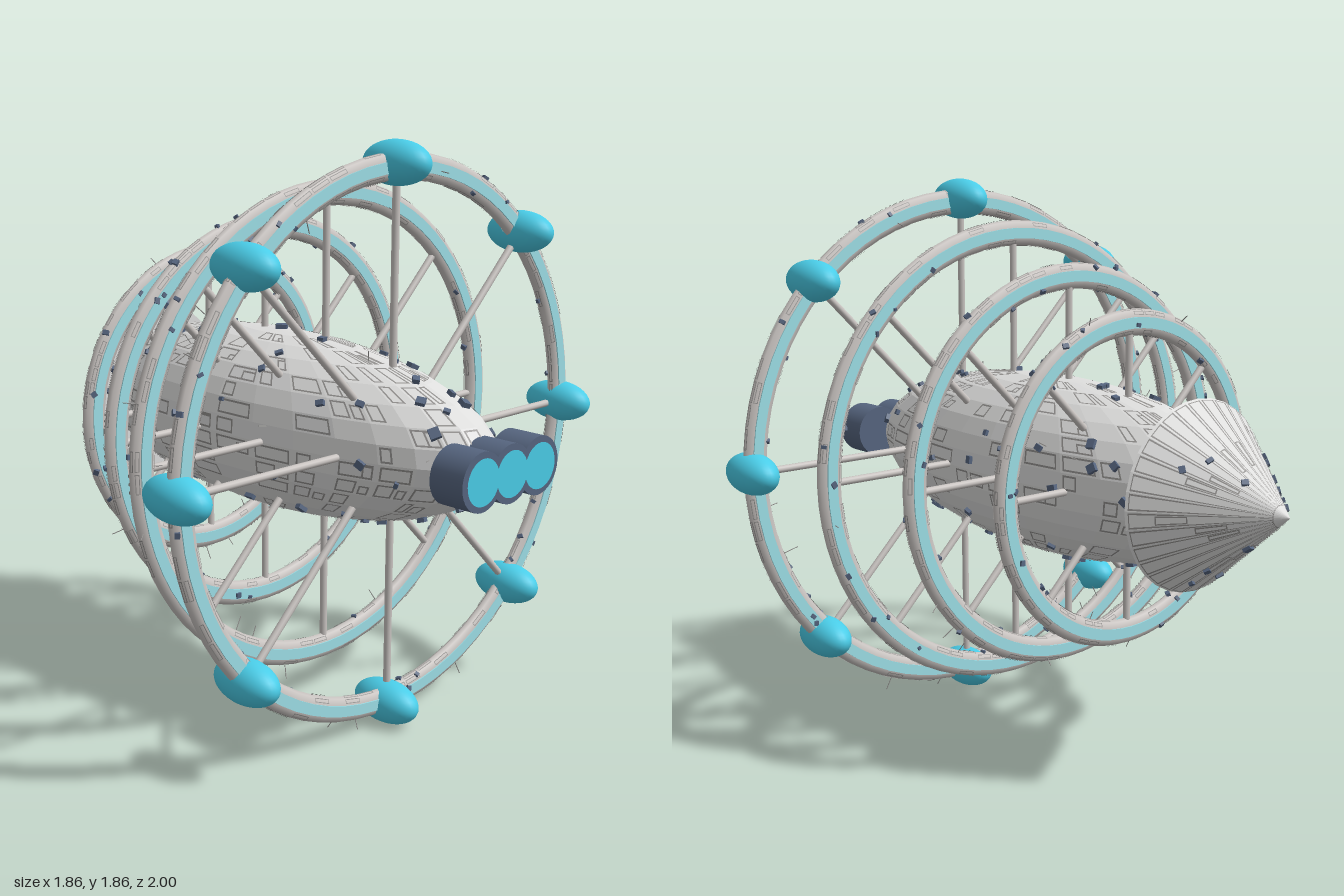
import * as THREE from 'three';
import { mergeGeometries } from 'three/addons/utils/BufferGeometryUtils.js';

const V = (x, y, z) => new THREE.Vector3(x, y, z);
const mat = (name, color) => Object.assign(new THREE.MeshStandardMaterial({ color }), { name });

// Small seeded random generator
let seed = 7;
const rnd = (a = 0, b = 1) => {
  seed = (seed * 16807) % 2147483647;
  return a + (b - a) * (seed / 2147483647);
};

// Faceted copy of a geometry, ready for merging
function flat(g) {
  const f = g.index ? g.toNonIndexed() : g;
  f.deleteAttribute('uv');
  f.computeVertexNormals();
  return f;
}

// Turns a geometry's +z towards a normal and moves it to a point
function place(g, pos, normal) {
  const q = new THREE.Quaternion().setFromUnitVectors(V(0, 0, 1), normal);
  return flat(g.applyQuaternion(q).translate(pos.x, pos.y, pos.z));
}

// Rectangular panel outline on a four-cornered patch (counter-clockwise from outside)
function frame(A, B, C, D, u0, u1, v0, v1, w, out) {
  const n = V(0, 0, 0).crossVectors(C.clone().sub(A), D.clone().sub(B)).normalize().multiplyScalar(0.003);
  const at = (u, v) => A.clone().lerp(B, u).lerp(D.clone().lerp(C, u), v).add(n);
  const du = w / Math.max(0.012, (A.distanceTo(B) + D.distanceTo(C)) / 2);
  const dv = w / Math.max(0.012, A.distanceTo(D));
  const strip = (a, b, c, d) => {
    const p = [at(a, c), at(b, c), at(b, d), at(a, d)];
    for (const i of [0, 1, 2, 0, 2, 3]) out.push(p[i].x, p[i].y, p[i].z);
  };
  strip(u0, u1, v0, v0 + dv);
  strip(u0, u1, v1 - dv, v1);
  strip(u0, u0 + du, v0, v1);
  strip(u1 - du, u1, v0, v1);
}

export function createModel() {
  seed = 7;
  const model = new THREE.Group();
  model.name = 'ringShip';
  const body = new THREE.Group();
  body.name = 'ship';
  body.position.y = 0.93;
  model.add(body);

  const hullGrey = mat('hullGrey', 0xdededd);
  const strutGrey = mat('strutGrey', 0xc9c4c1);
  const seamGrey = mat('seamGrey', 0x93918f);
  const slate = mat('slate', 0x56657f);
  const teal = mat('teal', 0x4acde8);
  const paleTeal = mat('paleTeal', 0x9fe2ea);
  seamGrey.side = THREE.DoubleSide;

  const add = (name, geo, material, parent = body) => {
    const m = new THREE.Mesh(geo, material);
    m.name = name;
    parent.add(m);
  };

  // Hull: long ellipsoid with its poles at top and bottom
  const RX = 0.295, RZ = 0.9, ZC = 0.03;
  const onHull = (lon, lat) => V(RX * Math.cos(lat) * Math.sin(lon), RX * Math.sin(lat), ZC + RZ * Math.cos(lat) * Math.cos(lon));
  const hullNormal = p => V(p.x / RX ** 2, p.y / RX ** 2, (p.z - ZC) / RZ ** 2).normalize();
  add('hull', flat(new THREE.SphereGeometry(1, 32, 16).scale(RX, RX, RZ).translate(0, 0, ZC)), hullGrey);

  // Tail cone, wide end forward
  const CR = 0.3, CZ = -0.63, CL = 0.37;
  const onCone = (a, t) => V(CR * (1 - t) * Math.cos(a), CR * (1 - t) * Math.sin(a), CZ - CL * t);
  add('tailCone', flat(new THREE.ConeGeometry(CR, CL, 32).rotateX(-Math.PI / 2).translate(0, 0, CZ - CL / 2)), hullGrey);

  // Panel outlines on the hull cells
  const lines = [];
  const step = Math.PI / 16;
  for (let i = 0; i < 32; i++) {
    for (let j = -7; j < 7; j++) {
      if (rnd() > 0.6) continue;
      const a = i * step, b = j * step;
      const c = [onHull(a, b), onHull(a + step, b), onHull(a + step, b + step), onHull(a, b + step)];
      if (c[0].z < -0.66 || c[0].z > 0.9) continue;
      const split = rnd(0.4, 0.6);
      frame(...c, 0.08, rnd() < 0.5 ? 0.92 : split, 0.1, 0.9, 0.006, lines);
      if (rnd() < 0.4) frame(...c, split + 0.08, 0.92, 0.1, rnd(0.5, 0.9), 0.006, lines);
    }
  }
  // Long ribs and short panels on the cone
  for (let i = 0; i < 32; i++) {
    const a = i * step, b = a + step;
    const cell = (t0, t1) => [onCone(b, t0), onCone(a, t0), onCone(a, t1), onCone(b, t1)];
    frame(...cell(0.02, 0.9), 0.06, 0.94, 0, 1, 0.003, lines);
    if (rnd() < 0.5) {
      const t = rnd(0.1, 0.5);
      frame(...cell(t, t + 0.2), 0.2, 0.8, 0, 1, 0.004, lines);
    }
  }

  // Engine cluster: three drums with glowing faces
  for (const x of [-0.13, 0, 0.13]) {
    add('engineDrum', new THREE.CylinderGeometry(0.09, 0.09, 0.12, 32).rotateX(Math.PI / 2).translate(x, 0, 0.935), slate);
    add('engineFace', new THREE.CircleGeometry(0.071, 32).translate(x, 0, 0.9985), teal);
  }

  const boxes = [], rods = [];
  const greeble = (p, n, s) => {
    boxes.push(place(new THREE.BoxGeometry(s * rnd(0.7, 1.4), s * rnd(0.7, 1.4), s).rotateZ(rnd(0, 3)), p, n));
  };
  const antenna = (p, n, len) => {
    rods.push(place(new THREE.CylinderGeometry(0.0015, 0.0015, len, 5).rotateX(Math.PI / 2).translate(0, 0, len / 2), p, n));
  };

  // Rings with spokes: z, middle radius
  const TR = 0.042, FLAT = 0.55;
  const rings = [[0.53, 0.85], [0.24, 0.754], [-0.045, 0.628], [-0.33, 0.502]];
  rings.forEach(([z, R], k) => {
    const ring = new THREE.Group();
    ring.name = 'ring' + (k + 1);
    ring.position.z = z;
    body.add(ring);
    const onRing = (a, b) => {
      const r = R + TR * Math.cos(b);
      return V(r * Math.cos(a), r * Math.sin(a), z + FLAT * TR * Math.sin(b));
    };
    add('ringTube', new THREE.TorusGeometry(R, TR, 12, 72).scale(1, 1, FLAT), strutGrey, ring);
    // Glowing band on both faces
    const h = 0.0175, t = 0.0245;
    const band = [[h, -t], [h, t], [-h, t], [-h, -t], [h, -t]].map(([r, y]) => new THREE.Vector2(R + r, y));
    add('ringBand', flat(new THREE.LatheGeometry(band, 72).rotateX(Math.PI / 2)), paleTeal, ring);
    // Panel outlines around the tube
    const da = Math.PI / 36, db = Math.PI / 6;
    for (let i = 0; i < 72; i++) {
      for (const j of [0, 1, 4, 5, 6, 7, 10, 11]) {
        if (rnd() > 0.3) continue;
        const a = i * da, b = j * db;
        frame(onRing(a, b), onRing(a + da, b), onRing(a + da, b + db), onRing(a, b + db), 0.05, 0.95, 0.1, 0.9, 0.0025, lines);
      }
    }
    const r0 = RX * Math.sqrt(1 - ((z - ZC) / RZ) ** 2) - 0.015;
    for (let i = 0; i < 8; i++) {
      const a = i * Math.PI / 4;
      add('spoke', new THREE.CylinderGeometry(0.012, 0.012, R - r0, 10).translate(0, (R + r0) / 2, 0).rotateZ(a), strutGrey, ring);
      // Pods around the largest ring
      if (k === 0) {
        add('pod', new THREE.SphereGeometry(1, 32, 20).scale(0.069, 0.069, 0.125).translate(0.86 * Math.cos(a), 0.86 * Math.sin(a), 0), teal, ring);
      }
    }
    // Small fittings on the ring
    for (let i = 0; i < 40; i++) {
      const a = rnd(0, Math.PI * 2), b = rnd(0, Math.PI * 2);
      const n = V(Math.cos(a) * Math.cos(b), Math.sin(a) * Math.cos(b), Math.sin(b));
      if (i % 4) greeble(onRing(a, b), n, 0.014);
      else antenna(onRing(a, b), n, rnd(0.025, 0.05));
    }
  });

  // Fittings on hull and cone
  for (let i = 0; i < 110; i++) {
    const p = onHull(rnd(0, Math.PI * 2), Math.asin(rnd(-1, 1)));
    if (p.z < -0.6 || p.z > 0.86) continue;
    if (i % 9) greeble(p, hullNormal(p), rnd(0.017, 0.027));
    else antenna(p, hullNormal(p), 0.035);
  }
  for (let i = 0; i < 18; i++) {
    const a = rnd(0, Math.PI * 2);
    greeble(onCone(a, rnd(0.1, 0.85)), V(CL * Math.cos(a), CL * Math.sin(a), -CR).normalize(), 0.019);
  }
  add('fittings', mergeGeometries(boxes), slate);
  add('antennas', mergeGeometries(rods), seamGrey);

  const panels = new THREE.BufferGeometry();
  panels.setAttribute('position', new THREE.Float32BufferAttribute(lines, 3));
  panels.computeVertexNormals();
  add('panelLines', panels, seamGrey);
  return model;
}
